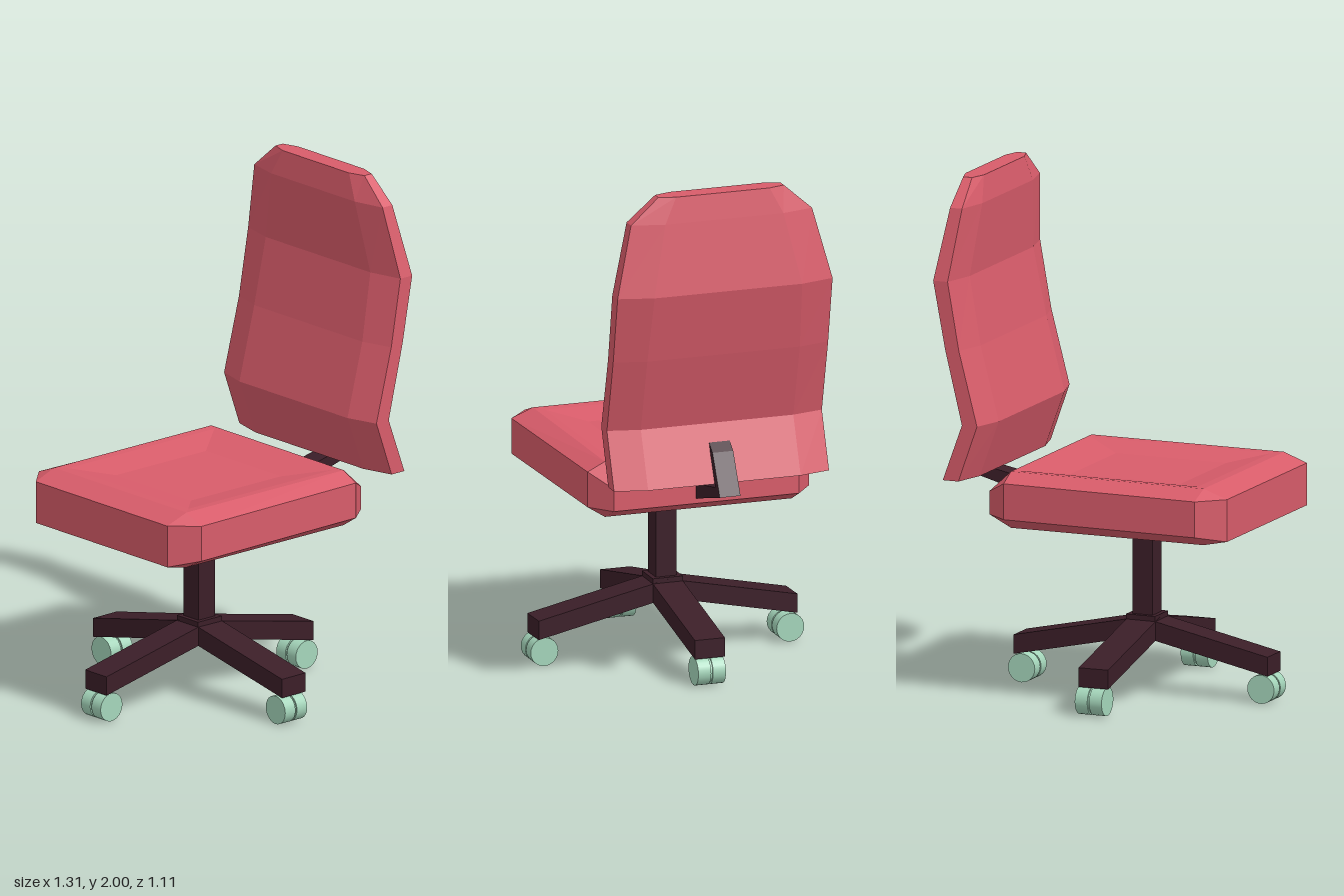
import * as THREE from 'three';

const red = new THREE.MeshStandardMaterial({ color: 0xd85c6a, flatShading: true });
const dark = new THREE.MeshStandardMaterial({ color: 0x3b1e28, flatShading: true });
const mint = new THREE.MeshStandardMaterial({ color: 0xa5d6bb });

// Skins a stack of rings (bottom to top, each turning from +x to +z) and caps both ends.
function loft(rings) {
  const pos = [];
  const tri = (a, b, c) => {
    const [A, B, C] = [a, b, c].map((p) => new THREE.Vector3(...p));
    if (B.clone().sub(A).cross(C.clone().sub(A)).length() > 1e-7) pos.push(...a, ...b, ...c);
  };
  const n = rings[0].length;
  for (let i = 0; i < rings.length - 1; i++) {
    for (let j = 0; j < n; j++) {
      const k = (j + 1) % n;
      tri(rings[i][j], rings[i + 1][j], rings[i][k]);
      tri(rings[i][k], rings[i + 1][j], rings[i + 1][k]);
    }
  }
  const top = rings[rings.length - 1];
  for (let j = 1; j < n - 1; j++) {
    tri(rings[0][0], rings[0][j], rings[0][j + 1]);
    tri(top[0], top[j + 1], top[j]);
  }
  const g = new THREE.BufferGeometry();
  g.setAttribute('position', new THREE.Float32BufferAttribute(pos, 3));
  g.computeVertexNormals();
  return g;
}

// Eight-point ring, mirrored in z: right end, right shoulder, left shoulder, left end as [x, y, z].
function ring(...half) {
  const [re, rs, ls, le] = half;
  const m = ([x, y, z]) => [x, y, -z];
  return [m(re), re, rs, ls, le, m(le), m(ls), m(rs)];
}
const rect = (x0, x1, z, y) => ring([x1, y, z], [x1, y, z], [x0, y, z], [x0, y, z]);

function extrude(points, depth) {
  const shape = new THREE.Shape(points.map(([x, y]) => new THREE.Vector2(x, y)));
  return new THREE.ExtrudeGeometry(shape, { depth, bevelEnabled: false }).translate(0, 0, -depth / 2);
}

function add(parent, name, geometry, material) {
  const mesh = new THREE.Mesh(geometry, material);
  mesh.name = name;
  parent.add(mesh);
  return mesh;
}

export function createModel() {
  const chair = new THREE.Group();
  chair.name = 'officeChair';

  // Seat cushion: chamfered block with a shallow dish on top
  add(chair, 'seat', loft([
    rect(-0.51, 0.295, 0.38, 0.675),
    ring([0.387, 0.72, 0.377], [0.295, 0.72, 0.45], [-0.51, 0.72, 0.467], [-0.606, 0.695, 0.377]),
    ring([0.387, 0.81, 0.377], [0.295, 0.86, 0.45], [-0.51, 0.86, 0.467], [-0.606, 0.86, 0.377]),
    rect(-0.51, 0.295, 0.38, 0.895),
    rect(-0.47, 0.28, 0.345, 0.893),
    rect(-0.34, 0.12, 0.215, 0.868),
  ]), red);

  // Backrest: y, front x, front shoulder x, rear shoulder x, rear x, inner z, outer z
  const backRows = [
    [0.85, 0.457, 0.49, 0.555, 0.587, 0.31, 0.437],
    [1.07, 0.377, 0.412, 0.475, 0.505, 0.31, 0.437],
    [1.36, 0.453, 0.488, 0.545, 0.578, 0.31, 0.437],
    [1.625, 0.503, 0.535, 0.595, 0.632, 0.3, 0.437],
    [1.9, 0.477, 0.505, 0.555, 0.588, 0.24, 0.368],
    [2.0, 0.492, 0.513, 0.55, 0.57, 0.19, 0.255],
  ];
  add(chair, 'backrest', loft(backRows.map(([y, f, fs, rs, r, zi, zo]) =>
    ring([r, y, zi], [rs, y, zo], [fs, y, zo], [f, y, zi]))), red);

  // Bent bracket joining seat and backrest
  add(chair, 'backBracket', extrude([
    [0.34, 0.727], [0.652, 0.813], [0.57, 0.97], [0.525, 1.005], [0.6, 0.84], [0.34, 0.79],
  ], 0.084), dark);

  // Swivel base
  const base = new THREE.Group();
  base.name = 'base';
  base.position.x = -0.105;
  chair.add(base);
  add(base, 'column', new THREE.BoxGeometry(0.085, 0.44, 0.085).translate(0, 0.46, 0), dark);
  add(base, 'hub', new THREE.BoxGeometry(0.122, 0.09, 0.122).translate(0, 0.262, 0), dark);

  const armShape = extrude([[0, 0.225], [0.53, 0.112], [0.53, 0.187], [0, 0.3]], 0.122);
  const wheelShape = new THREE.CylinderGeometry(0.056, 0.056, 0.052, 24).rotateX(Math.PI / 2);
  const axleShape = new THREE.CylinderGeometry(0.05, 0.05, 0.02, 24).rotateX(Math.PI / 2);
  for (let i = 0; i < 4; i++) {
    const turn = (i * Math.PI) / 2;
    // The two crosswise arms sit very slightly askew
    add(base, 'arm', armShape, dark).rotation.y = turn + (i % 2) * 0.02;

    // Twin-wheel caster
    const caster = new THREE.Group();
    caster.name = 'caster';
    caster.rotation.y = turn;
    base.add(caster);
    for (const side of [-1, 1]) {
      add(caster, 'wheel', wheelShape, mint).position.set(0.5, 0.058, side * 0.03);
    }
    add(caster, 'axle', axleShape, mint).position.set(0.5, 0.058, 0);
  }
  return chair;
}
